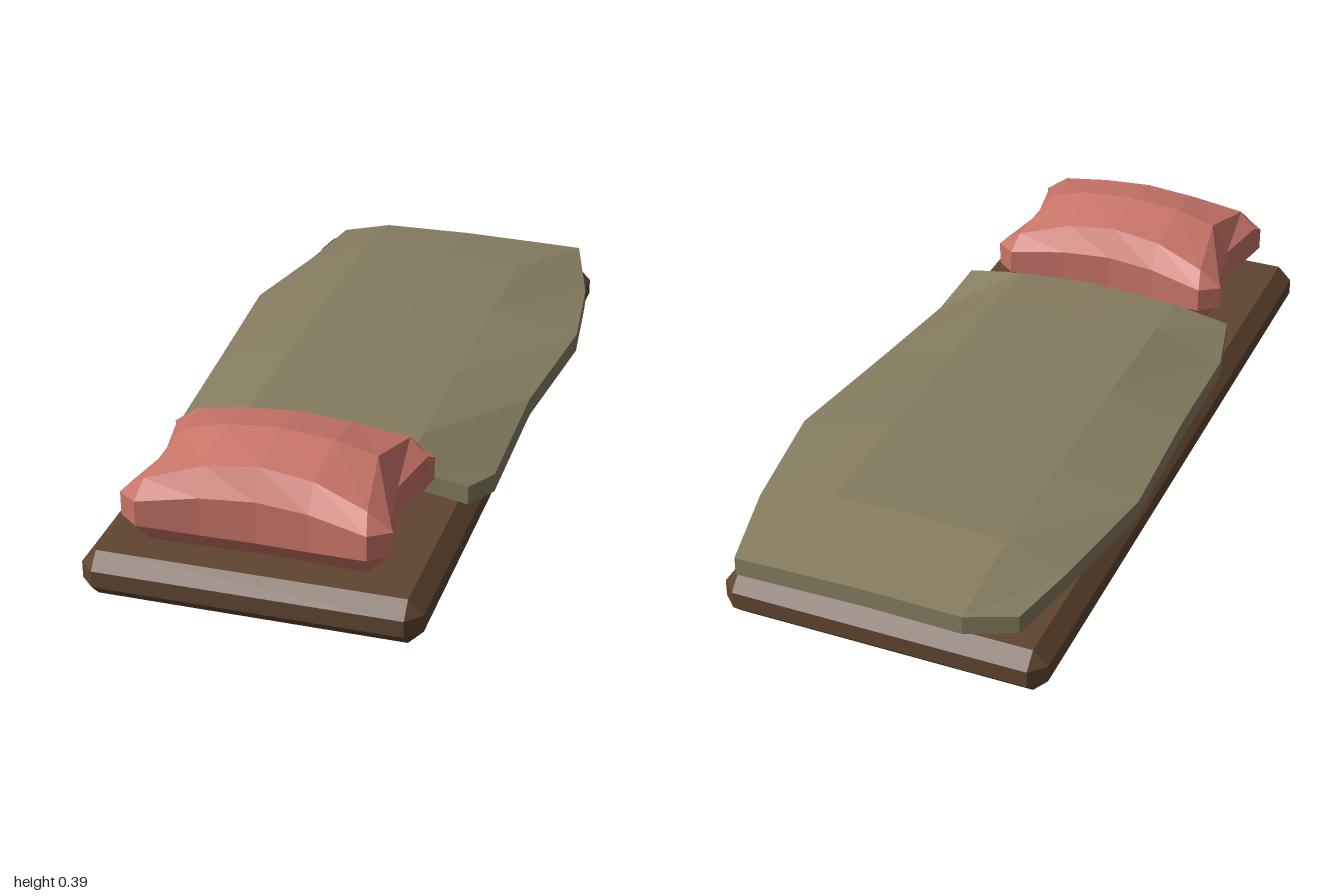
import * as THREE from 'three';
import { ConvexGeometry } from 'three/addons/geometries/ConvexGeometry.js';

const wood = new THREE.MeshStandardMaterial({ color: 0x604530, flatShading: true });
wood.name = 'dark wood';
const cloth = new THREE.MeshStandardMaterial({ color: 0x857c60, flatShading: true });
cloth.name = 'olive cloth';
const rose = new THREE.MeshStandardMaterial({ color: 0xc87468, flatShading: true });
rose.name = 'rose fabric';

const CX = -0.034; // the base and pillow share this centre line

function part(name, geometry, material) {
  const mesh = new THREE.Mesh(geometry, material);
  mesh.name = name;
  return mesh;
}

// Box with every edge and corner cut off by c
function chamferedBox(w, h, d, c) {
  const points = [];
  for (const sx of [-1, 1]) for (const sy of [-1, 1]) for (const sz of [-1, 1]) {
    const [x, y, z] = [w / 2, h / 2, d / 2];
    for (const [a, b, e] of [[x, y - c, z - c], [x - c, y, z - c], [x - c, y - c, z]])
      points.push(new THREE.Vector3(sx * a, sy * b, sz * e));
  }
  return new ConvexGeometry(points);
}

// Skin over closed rings; the ends are closed by joining each ring's two halves
function loft(rings) {
  const n = rings[0].length, last = rings.length - 1, positions = [];
  const quad = (a, b, c, d) => positions.push(...a, ...b, ...c, ...a, ...c, ...d);
  for (let i = 0; i < last; i++) for (let j = 0; j < n; j++) {
    const k = (j + 1) % n;
    quad(rings[i][j], rings[i][k], rings[i + 1][k], rings[i + 1][j]);
  }
  for (let j = 0; j < n / 2 - 1; j++) {
    const s = rings[0], e = rings[last], p = n - 1 - j;
    quad(s[j], s[p], s[p - 1], s[j + 1]);
    quad(e[j], e[j + 1], e[p - 1], e[p]);
  }
  const geometry = new THREE.BufferGeometry();
  geometry.setAttribute('position', new THREE.Float32BufferAttribute(positions, 3));
  geometry.computeVertexNormals();
  return geometry;
}

// Pillow: sections across x, pinched in along all four sides
function pillowGeometry() {
  const CZ = 0.728;
  // x at ridge, shoulder, rim; half depth at shoulder, rim, base; then heights
  const stations = [
    { x: [0, 0, 0], d: [0.145, 0.185, 0.14], y: [0.39, 0.36, 0.287, 0.175, 0.12] },
    { x: [0.14, 0.135, 0.135], d: [0.152, 0.195, 0.145], y: [0.378, 0.346, 0.281, 0.18, 0.12] },
    { x: [0.247, 0.275, 0.285], d: [0.185, 0.227, 0.17], y: [0.35, 0.308, 0.266, 0.2, 0.135] },
    { x: [0.295, 0.325, 0.337], d: [0.165, 0.185, 0.16], y: [0.272, 0.272, 0.262, 0.2, 0.19] },
  ];
  const ring = ({ x, d, y }, s) => {
    const p = (xi, yi, z) => [CX + s * x[xi], y[yi], CZ + z];
    return [
      p(2, 2, -d[1]), p(1, 1, -d[0]), p(0, 0, 0), p(1, 1, d[0]), p(2, 2, d[1]),
      p(2, 3, d[1]), p(1, 4, d[2]), p(0, 4, 0), p(1, 4, -d[2]), p(2, 3, -d[1]),
    ];
  };
  const left = stations.slice(1).reverse().map(s => ring(s, -1));
  return loft([...left, ...stations.map(s => ring(s, 1))]);
}

// Blanket: thin draped sheet, sections from foot to head
function blanketGeometry() {
  const thickness = 0.05;
  // z, right edge x and y, crown y, shoulder y, left edge x and y
  const rows = [
    [-0.98, -0.37, 0.172, 0.182, 0.178, 0.35, 0.175],
    [-0.71, -0.41, 0.165, 0.22, 0.212, 0.425, 0.162],
    [-0.39, -0.47, 0.175, 0.22, 0.217, 0.465, 0.177],
    [0.0, -0.45, 0.165, 0.22, 0.215, 0.42, 0.165],
    [0.35, -0.44, 0.145, 0.22, 0.212, 0.41, 0.125],
    [0.51, -0.405, 0.172, 0.214, 0.2, 0.38, 0.172],
  ];
  return loft(rows.map(([z, xr, yr, crown, shoulder, xl, yl], i) => {
    const top = [[xl, yl, z], [0.22, shoulder, z], [0, crown, z], [-0.25, shoulder, z], [xr, yr, z]];
    if (i === 0) top[4][2] = -0.92; // clipped foot corner
    const under = top.map(([x, y, pz]) => [x, y - thickness, pz]).reverse();
    return [...top, ...under];
  }));
}

export function createModel() {
  const bed = new THREE.Group();
  bed.name = 'bed';
  const base = part('bedBase', chamferedBox(0.85, 0.12, 2, 0.038), wood);
  base.position.set(CX, 0.06, 0);
  bed.add(base);
  bed.add(part('pillow', pillowGeometry(), rose));
  bed.add(part('blanket', blanketGeometry(), cloth));
  return bed;
}
